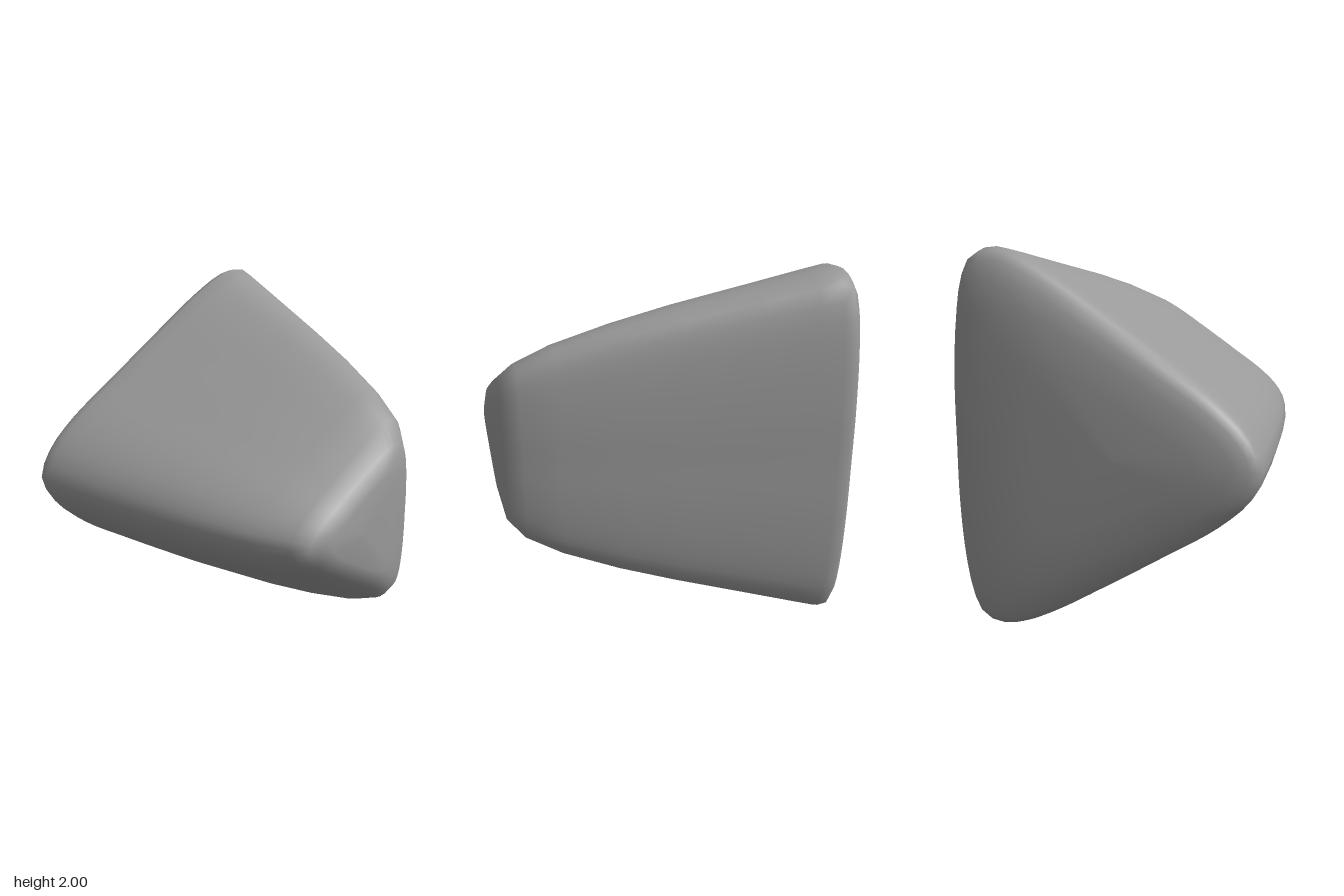
import * as THREE from 'three';

// Half outline of the rounded triangular section, unit scale, from the pointed side to the flat side
const HALF = [
  [-1, 0], [-0.92, 0.155], [-0.73, 0.31], [-0.36, 0.515], [0, 0.705], [0.36, 0.888], [0.58, 0.978],
  [0.68, 1], [0.78, 0.998], [0.865, 0.96], [0.925, 0.86], [0.97, 0.66], [0.998, 0.33], [1, 0],
];

// Sections from front to back: z, x minimum, x maximum, half height
const SECTIONS = [
  [0.912, -0.06, -0.06, 0], [0.908, -0.28, 0.18, 0.26], [0.88, -0.415, 0.3, 0.405], [0.79, -0.46, 0.365, 0.505],
  [0.6, -0.55, 0.435, 0.605], [0.3, -0.635, 0.525, 0.713], [0, -0.702, 0.607, 0.802],
  [-0.4, -0.775, 0.718, 0.906], [-0.65, -0.812, 0.785, 0.972], [-0.76, -0.828, 0.815, 1],
  [-0.81, -0.828, 0.825, 0.985], [-0.84, -0.82, 0.81, 0.94], [-0.868, -0.78, 0.75, 0.85],
  [-0.89, -0.7, 0.62, 0.7], [-0.908, -0.52, 0.36, 0.42], [-0.914, -0.1, -0.1, 0],
];

// Mirror the half outline top to bottom and resample it as a smooth closed loop
function sectionOutline(count) {
  const mirrored = HALF.slice(1, -1).reverse().map(([u, v]) => [u, -v]);
  const points = [...HALF, ...mirrored].map(([u, v]) => new THREE.Vector3(u, v, 0));
  return new THREE.CatmullRomCurve3(points, true).getSpacedPoints(count).slice(0, count);
}

// Skin the sections into one closed smooth surface
function loft(sections, outline) {
  const n = outline.length;
  const positions = [];
  const index = [];
  sections.forEach(([z, x0, x1, h], i) => {
    for (const p of outline) positions.push((x0 + x1) / 2 + p.x * (x1 - x0) / 2, 1 + p.y * h, z);
    if (i === sections.length - 1) return;
    for (let j = 0; j < n; j++) {
      const a = i * n + j;
      const b = i * n + (j + 1) % n;
      if (i > 0) index.push(a, b, a + n);
      if (i < sections.length - 2) index.push(b, b + n, a + n);
    }
  });
  const geometry = new THREE.BufferGeometry();
  geometry.setAttribute('position', new THREE.Float32BufferAttribute(positions, 3));
  geometry.setIndex(index);
  geometry.computeVertexNormals();
  return geometry;
}

export function createModel() {
  const group = new THREE.Group();
  group.name = 'roundedWedge';
  const material = new THREE.MeshStandardMaterial({ color: 0x9a9a9a });

  // Tapered three-sided block with soft edges
  const body = new THREE.Mesh(loft(SECTIONS, sectionOutline(72)), material);
  body.name = 'taperedBlock';
  group.add(body);
  return group;
}
